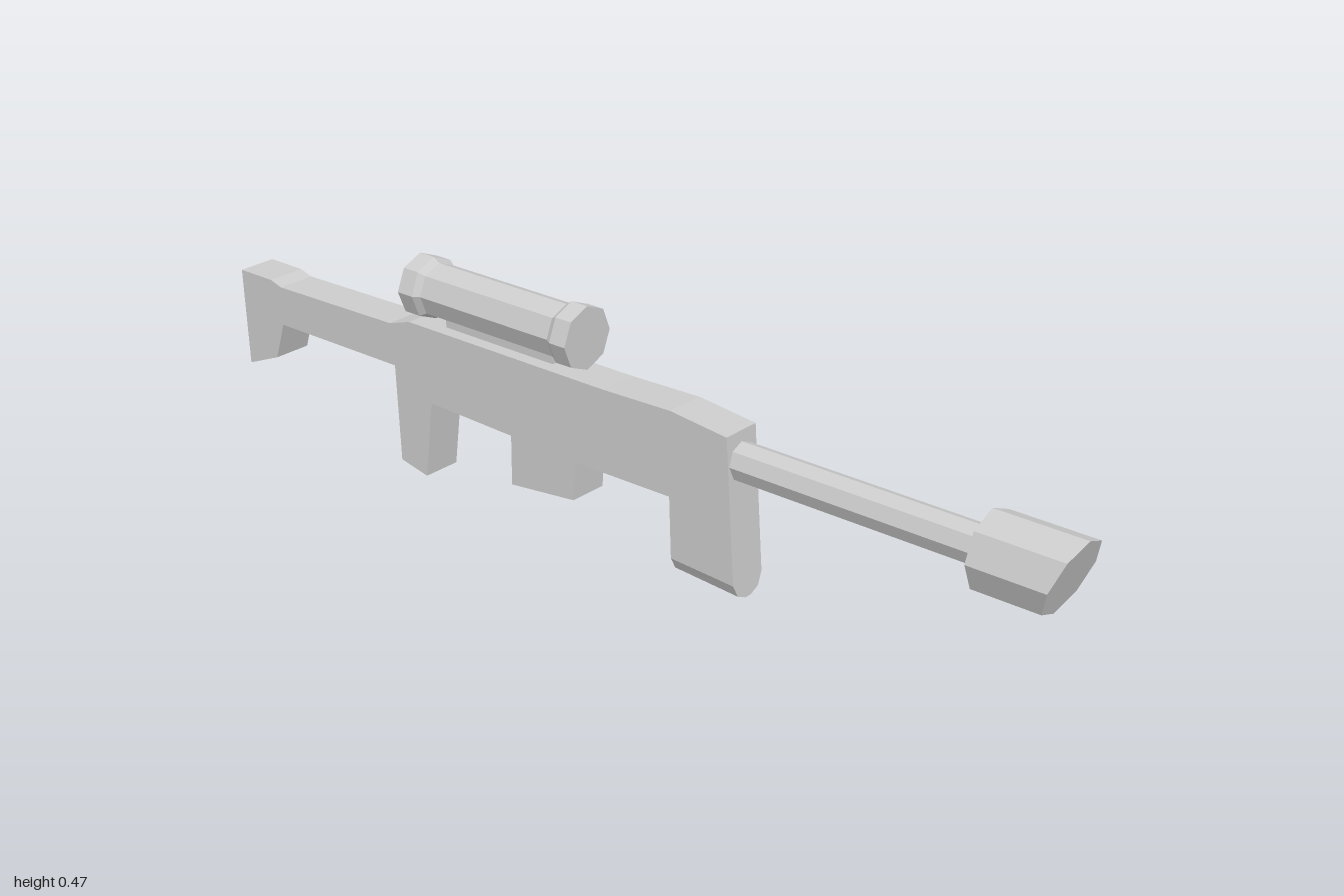
import * as THREE from 'three';

const material = new THREE.MeshStandardMaterial({ color: 0xcccccc, flatShading: true });
const shapeFrom = (points) => new THREE.Shape(points.map(([x, y]) => new THREE.Vector2(x, y)));

export function createModel() {
  const group = new THREE.Group();
  const halfWidth = 0.042;

  const add = (name, geometry, y = 0) => {
    const mesh = new THREE.Mesh(geometry, material);
    mesh.name = name;
    mesh.position.y = y;
    group.add(mesh);
    return mesh;
  };

  // Octagonal part turned around the x axis; profile is [x, radius] from back to front
  const turned = (profile) =>
    new THREE.LatheGeometry(profile.map(([x, r]) => new THREE.Vector2(r, x)), 8).rotateZ(-Math.PI / 2);

  // Flat-sided body: stock, receiver, rear grip and magazine in one outline
  const outline = [
    [-1, 0.324], [-0.99, 0.117], [-0.905, 0.152], [-0.88, 0.232], [-0.55, 0.232],
    [-0.54, 0.028], [-0.47, 0.013], [-0.45, 0.178], [-0.235, 0.172], [-0.235, 0.068],
    [-0.075, 0.085], [-0.07, 0.166], [0.16, 0.168], [0.302, 0.168], [0.29, 0.326],
    [0.16, 0.34], [0, 0.336], [-0.505, 0.337], [-0.56, 0.32], [-0.88, 0.315], [-0.91, 0.324],
  ];
  add('body', new THREE.ExtrudeGeometry(shapeFrom(outline), { depth: 2 * halfWidth, bevelEnabled: false })
    .translate(0, 0, -halfWidth));

  // Front grip: rounded-bottom section swept along x, then leaned forward
  const section = [
    [-halfWidth, 0.168], [-halfWidth, 0.035], [-0.03, 0.01], [-0.008, 0],
    [0.008, 0], [0.03, 0.01], [halfWidth, 0.035], [halfWidth, 0.168],
  ];
  const grip = new THREE.ExtrudeGeometry(shapeFrom(section), { depth: 1, bevelEnabled: false }).rotateY(Math.PI / 2);
  const p = grip.attributes.position;
  for (let i = 0; i < p.count; i++) {
    const t = p.getX(i);
    const drop = 1 - p.getY(i) / 0.168;
    const back = 0.16 + 0.007 * drop;
    const front = 0.302 + 0.013 * drop;
    p.setX(i, back + (front - back) * t);
    p.setY(i, p.getY(i) + 0.01 * drop * (1 - t));
  }
  grip.computeVertexNormals();
  add('frontGrip', grip);

  // Barrel
  add('barrel', turned([[0.27, 0], [0.27, 0.038], [0.83, 0.038], [0.83, 0]]), 0.267);

  // Muzzle with a slanted front face
  const muzzle = turned([[0.815, 0], [0.815, 0.076], [0.972, 0.076], [0.972, 0]]);
  const m = muzzle.attributes.position;
  for (let i = 0; i < m.count; i++) {
    if (m.getX(i) > 0.9) m.setX(i, m.getX(i) + m.getY(i) * 0.36);
  }
  muzzle.computeVertexNormals();
  add('muzzle', muzzle, 0.266);

  // Scope with a collar at each end
  add('scope', turned([
    [-0.51, 0], [-0.51, 0.064], [-0.472, 0.064], [-0.458, 0.055],
    [-0.127, 0.055], [-0.113, 0.064], [-0.075, 0.064], [-0.075, 0],
  ]), 0.405);

  // Scope mount
  add('scopeMount', new THREE.BoxGeometry(0.28, 0.04, 0.028).translate(-0.29, 0, 0), 0.343);

  return group;
}
